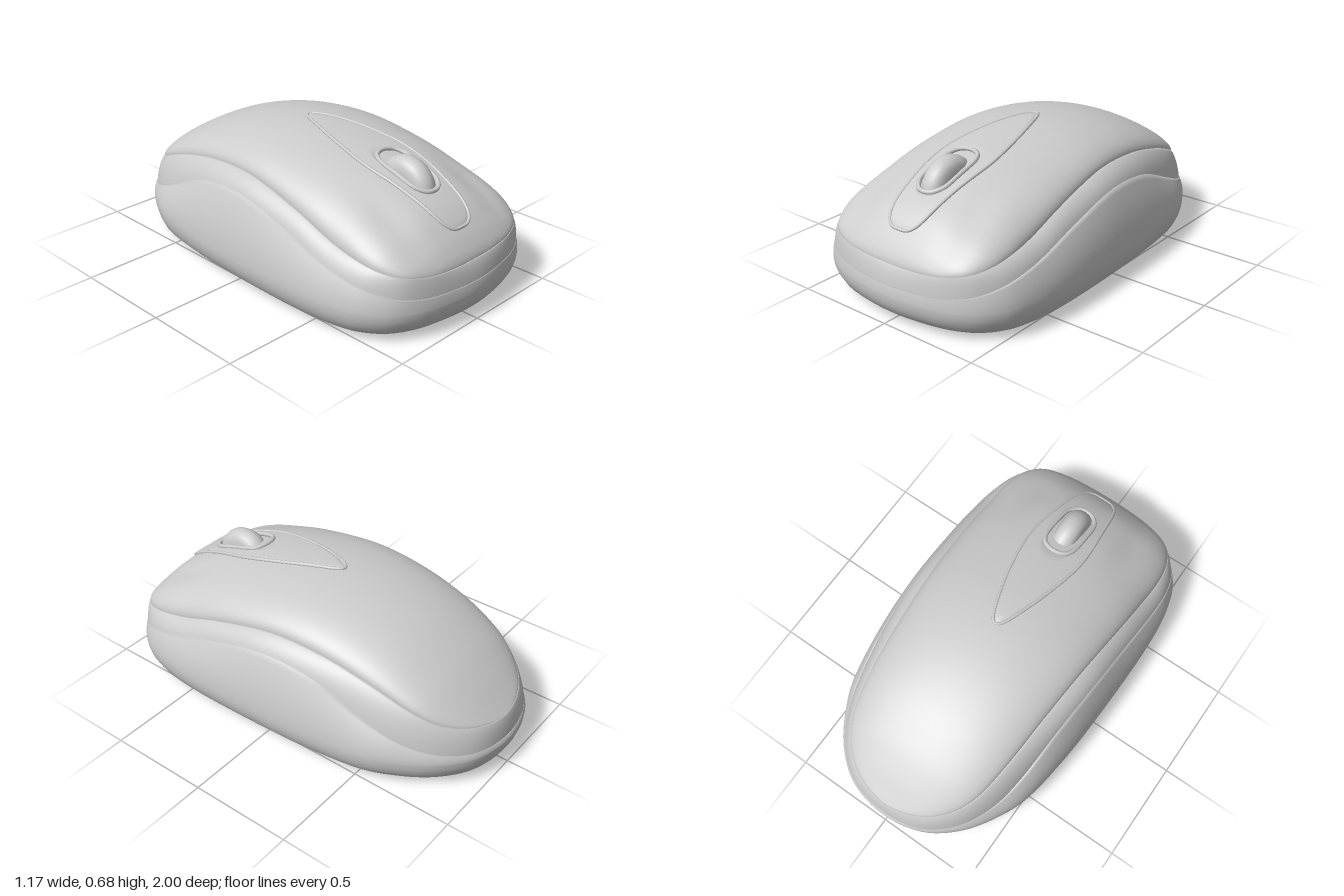
import * as THREE from 'three';

const V = (x, y, z) => new THREE.Vector3(x, y, z);
const N = 168; // points round each body loop

// Closed, mirrored loop from half an outline (front to back on the +x side)
function mirrored(half) {
  const pts = half.map(p => V(...p));
  const other = half.slice(1, -1).reverse().map(([x, y, z]) => V(-x, y, z));
  return new THREE.CatmullRomCurve3([...pts, ...other], true, 'catmullrom', 0.5);
}
const sample = curve => Array.from({ length: N }, (_, i) => curve.getPoint(i / N));

// Outline of the widest part, the lower seam and the upper seam
const widest = mirrored([[0, 1], [.17, .985], [.32, .95], [.44, .885], [.52, .785], [.558, .67], [.578, .53],
  [.585, .33], [.58, .03], [.565, -.25], [.525, -.53], [.455, -.7], [.35, -.85], [.2, -.96], [0, -1]]
  .map(([x, z]) => [x, .14, z]));
const lowerSeam = mirrored([[0, .195, .993], [.16, .197, .98], [.3, .203, .95], [.41, .22, .895], [.485, .25, .8],
  [.517, .28, .69], [.525, .315, .55], [.52, .38, .33], [.51, .445, .03], [.49, .42, -.25], [.465, .31, -.52],
  [.42, .235, -.7], [.33, .19, -.85], [.19, .17, -.955], [0, .165, -.99]]);
const upperHalf = [[0, .285, .965], [.15, .287, .96], [.28, .295, .94], [.38, .31, .895], [.44, .33, .81],
  [.463, .355, .7], [.463, .39, .55], [.455, .46, .33], [.435, .52, .03], [.415, .51, -.25], [.395, .455, -.5],
  [.36, .38, -.7], [.29, .32, -.83], [.17, .285, -.925], [0, .27, -.965]];
const upperSeam = mirrored(upperHalf);
// Height of the centre line above each point of the upper seam
const ridgeHeights = [.285, .305, .34, .395, .47, .53, .588, .638, .672, .655, .59, .49, .395, .308, .27];
const ridge = mirrored(upperHalf.map(([, , z], i) => [0, ridgeHeights[i], z]));

// Skin over a list of equal-length rings
function loft(name, rings, closed, material) {
  const n = rings[0].length, index = [];
  for (let j = 0; j < rings.length - 1; j++) {
    for (let i = 0; i < (closed ? n : n - 1); i++) {
      const k = (i + 1) % n, a = j * n + i, b = j * n + k;
      index.push(a, b, b + n, a, b + n, a + n);
    }
  }
  const geometry = new THREE.BufferGeometry().setFromPoints(rings.flat());
  geometry.setIndex(index);
  geometry.computeVertexNormals();
  const mesh = new THREE.Mesh(geometry, material);
  mesh.name = name;
  return mesh;
}

// Shallow finger hollow either side of the wheel
const hollow = (x, z) => -.018 * Math.exp(-(((Math.abs(x) - .28) / .075) ** 2) - ((z - .72) / .17) ** 2);

// Point on the top shell: t runs front to back, s from -1 to 1 across
function shellPoint(t, s) {
  const edge = upperSeam.getPoint(t), top = ridge.getPoint(t).y;
  const x = edge.x * s;
  const arch = Math.max(0, 1 - s * s) ** .54;
  return V(x, edge.y + (top - edge.y) * arch + hollow(x, edge.z) * arch, edge.z);
}

// Point on the top shell above a given x and z
function onShell(x, z, lift) {
  let lo = 0, hi = .5;
  for (let i = 0; i < 30; i++) {
    const mid = (lo + hi) / 2;
    if (upperSeam.getPoint(mid).z > z) lo = mid; else hi = mid;
  }
  const p = shellPoint(lo, x / upperSeam.getPoint(lo).x);
  return V(x, p.y + lift, z);
}

function bead(name, points, radius, material) {
  const curve = new THREE.CatmullRomCurve3(points, true);
  const mesh = new THREE.Mesh(new THREE.TubeGeometry(curve, 140, radius, 8, true), material);
  mesh.name = name;
  return mesh;
}

export function createModel() {
  const group = new THREE.Group();
  group.name = 'computerMouse';
  const grey = new THREE.MeshStandardMaterial({ color: 0xcccccc, side: THREE.DoubleSide });
  const wide = sample(widest), low = sample(lowerSeam), high = sample(upperSeam);
  const tuck = ring => ring.map(p => V(p.x * .975, p.y - .012, p.z * .985));

  // Base: flat underside, rounded lower edge, sides leaning in to the lower seam
  const base = [[0, 0], [.5, 0], [.78, .003], [.87, .012], [.925, .028], [.96, .05], [.985, .085], [.997, .115]]
    .map(([s, y]) => wide.map(p => V(p.x * s, y, p.z * (1 - (1 - s) * (s > .7 ? .75 : 1)))));
  for (let k = 0; k <= 12; k++) {
    const v = k / 12;
    base.push(wide.map((p, i) => V(
      p.x + (low[i].x - p.x) * v * v,
      p.y + (low[i].y - p.y) * v,
      p.z + (low[i].z - p.z) * v * v)));
  }
  base.push(tuck(low));
  group.add(loft('base', base, true, grey));

  // Side band: gently bulging strip between the seams
  const band = [];
  for (let k = 0; k <= 10; k++) {
    const v = k / 10, a = v * Math.PI / 2;
    const inward = (v + 1 - Math.cos(a)) / 2, up = (v + Math.sin(a)) / 2;
    band.push(low.map((p, i) => V(
      p.x + (high[i].x - p.x) * inward,
      p.y + (high[i].y - p.y) * up,
      p.z + (high[i].z - p.z) * inward)));
  }
  band.push(tuck(high));
  group.add(loft('sideBand', band, true, grey));

  // Top shell: arches spanning the upper seam
  const arches = [];
  for (let j = 0; j <= N / 2; j++) {
    const row = [];
    for (let i = 0; i <= 60; i++) row.push(shellPoint(j / N, Math.sin((i / 60 - .5) * Math.PI)));
    arches.push(row);
  }
  group.add(loft('topShell', arches, false, grey));

  // Teardrop panel with a long opening for the wheel
  const drop = mirrored([[0, 0, .885], [.06, 0, .875], [.098, 0, .82], [.122, 0, .68], [.143, 0, .5], [.138, 0, .37],
    [.1, 0, .18], [.05, 0, .02], [.022, 0, -.04], [0, 0, -.055]]);
  const slot = mirrored([[0, 0, .725], [.04, 0, .715], [.07, 0, .68], [.08, 0, .64], [.082, 0, .57], [.082, 0, .53],
    [.078, 0, .48], [.06, 0, .44], [.03, 0, .422], [0, 0, .418]]);
  const outer = sample(drop), inner = sample(slot);
  const panel = [outer.map(p => onShell(p.x, p.z, -.01))];
  for (let k = 0; k <= 8; k++) {
    panel.push(outer.map((p, i) => {
      const q = p.clone().lerp(inner[i], k / 8);
      return onShell(q.x, q.z, .007);
    }));
  }
  panel.push(inner.map(p => onShell(p.x, p.z, -.01)));
  group.add(loft('wheelPanel', panel, true, grey));
  group.add(bead('panelRim', outer.filter((_, i) => i % 3 === 0).map(p => onShell(p.x, p.z, .004)), .008, grey));
  group.add(bead('wheelCollar', inner.filter((_, i) => i % 3 === 0).map(p => onShell(p.x, p.z, .01)), .011, grey));

  // Scroll wheel with a rounded tread
  const profile = [[0, -.058], [.08, -.058], [.11, -.055], [.132, -.043], [.146, -.023], [.15, 0],
    [.146, .023], [.132, .043], [.11, .055], [.08, .058], [0, .058]].map(([r, y]) => new THREE.Vector2(r, y));
  const wheel = new THREE.Mesh(new THREE.LatheGeometry(profile, 56), grey);
  wheel.name = 'scrollWheel';
  wheel.rotation.z = Math.PI / 2;
  wheel.position.set(0, .498, .57);
  group.add(wheel);
  return group;
}
